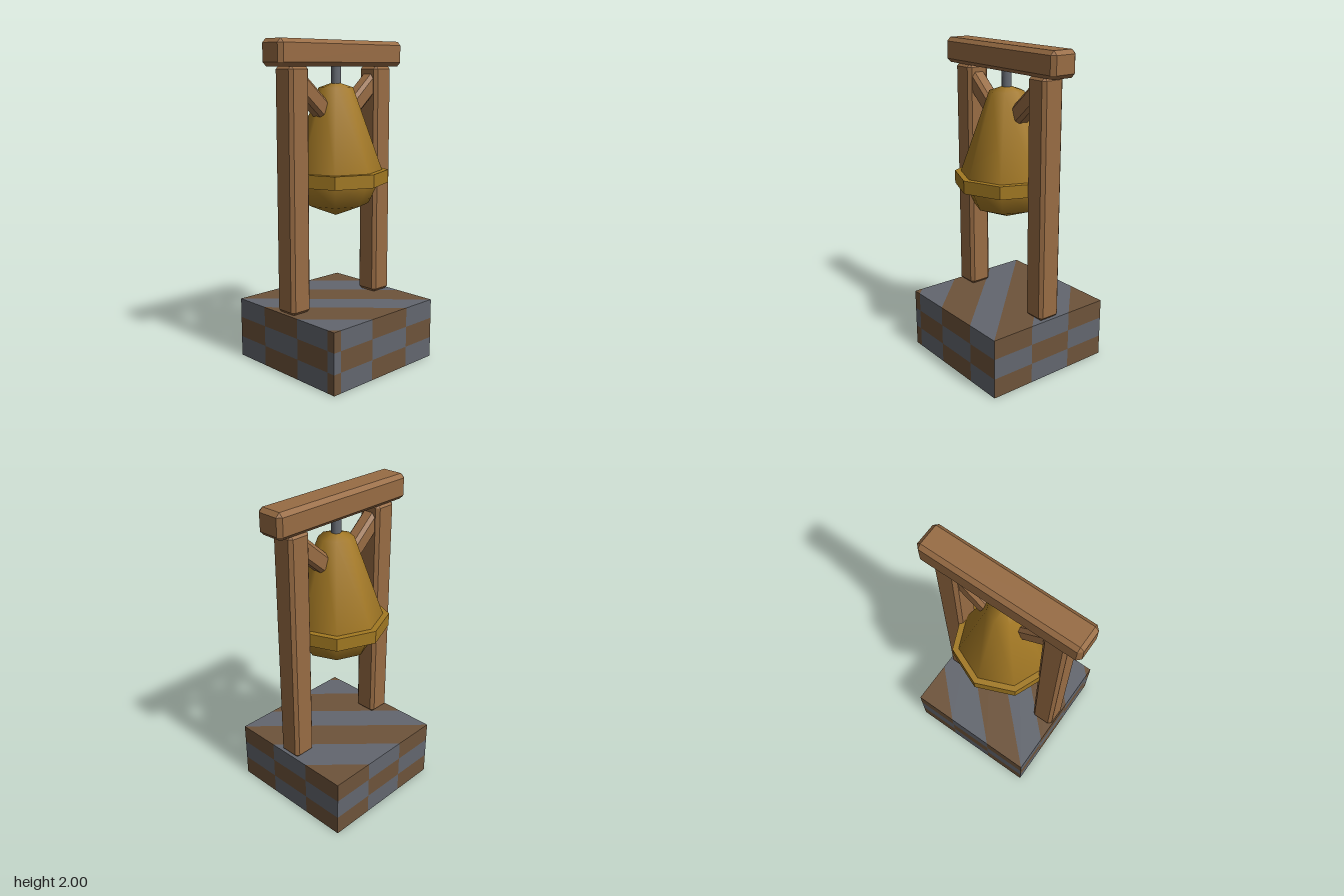
import * as THREE from 'three';
import { ConvexGeometry } from 'three/addons/geometries/ConvexGeometry.js';

const mat = (name, color, flatShading = false) =>
  new THREE.MeshStandardMaterial({ name, color, flatShading });

// Box with flat chamfers on every edge
function chamferBox(w, h, d, b = 0.02) {
  const pts = [];
  for (const sx of [-1, 1]) for (const sy of [-1, 1]) for (const sz of [-1, 1]) {
    const x = w / 2, y = h / 2, z = d / 2;
    pts.push(
      new THREE.Vector3(sx * x, sy * (y - b), sz * (z - b)),
      new THREE.Vector3(sx * (x - b), sy * y, sz * (z - b)),
      new THREE.Vector3(sx * (x - b), sy * (y - b), sz * z));
  }
  return new ConvexGeometry(pts);
}

// Plinth cut into diagonal bands (x + z = c) and rows; one mesh per colour
function plinthGeometries() {
  const H = 0.43;
  const bands = [-0.86, -0.58, -0.285, 0, 0.24, 0.545, 0.805, 0.86];
  const rows = [0, 0.127, 0.257, 0.38];
  const P = (c, y) => c <= 0 ? new THREE.Vector3(-H, y, c + H) : new THREE.Vector3(c - H, y, H);
  const Q = (c, y) => { const p = P(c, y); return new THREE.Vector3(p.z, y, p.x); };
  const out = [[], []];
  const tri = (list, ...v) => {
    if (new THREE.Triangle(...v).getArea() > 1e-6) v.forEach(p => list.push(p));
  };
  const quad = (list, a, b, c, d) => { tri(list, a, b, c); tri(list, a, c, d); };
  for (let r = 0; r < rows.length - 1; r++) {
    for (let i = 0; i < bands.length - 1; i++) {
      const list = out[(i + r) % 2];
      const [y0, y1, c0, c1] = [rows[r], rows[r + 1], bands[i], bands[i + 1]];
      quad(list, P(c0, y0), P(c1, y0), P(c1, y1), P(c0, y1));
      quad(list, Q(c1, y0), Q(c0, y0), Q(c0, y1), Q(c1, y1));
      if (r === rows.length - 2) quad(list, P(c0, y1), P(c1, y1), Q(c1, y1), Q(c0, y1));
      if (r === 0) quad(list, Q(c0, y0), Q(c1, y0), P(c1, y0), P(c0, y0));
    }
  }
  return out.map(list => {
    const g = new THREE.BufferGeometry().setFromPoints(list);
    g.computeVertexNormals();
    return g;
  });
}

export function createModel() {
  const model = new THREE.Group();
  model.name = 'bellStand';
  const wood = mat('wood', 0x986c44, true);
  const gold = mat('gold', 0xa57a25);
  const goldFlat = mat('goldRim', 0xa27922, true);
  const stone = mat('greyStone', 0x62666e);
  const earth = mat('brownStone', 0x6d533a);
  const iron = mat('iron', 0x666b73);

  const add = (name, geometry, material, x = 0, y = 0, z = 0) => {
    const m = new THREE.Mesh(geometry, material);
    m.name = name;
    m.position.set(x, y, z);
    model.add(m);
    return m;
  };

  // Chequered plinth
  const [brown, grey] = plinthGeometries();
  add('plinthBrownBlocks', brown, earth);
  add('plinthGreyBlocks', grey, stone);

  // Frame: beam, two posts and two slanting braces
  add('topBeam', chamferBox(0.18, 0.155, 1.02, 0.024), wood, 0, 1.9225, 0);
  for (const [side, s] of [['front', 1], ['back', -1]]) {
    add(side + 'Post', chamferBox(0.15, 1.47, 0.148), wood, 0, 1.115, s * 0.35);
    const brace = add(side + 'Brace', chamferBox(0.1, 0.11, 0.34), wood, 0, 1.69, s * 0.235);
    brace.rotation.x = -s * 0.72;
  }

  // Hanging rod
  add('hangingRod', new THREE.CylinderGeometry(0.03, 0.03, 0.15, 8), iron, 0, 1.79, 0);

  // Eight-sided bell with a smooth body
  const profile = [[0, 0.93], [0.205, 1.01], [0.292, 1.2], [0.105, 1.72], [0, 1.755]]
    .map(([r, y]) => new THREE.Vector2(r, y));
  add('bellBody', new THREE.LatheGeometry(profile, 8), gold);
  add('bellRim', new THREE.CylinderGeometry(0.323, 0.323, 0.08, 8), goldFlat, 0, 1.178, 0);

  return model;
}
